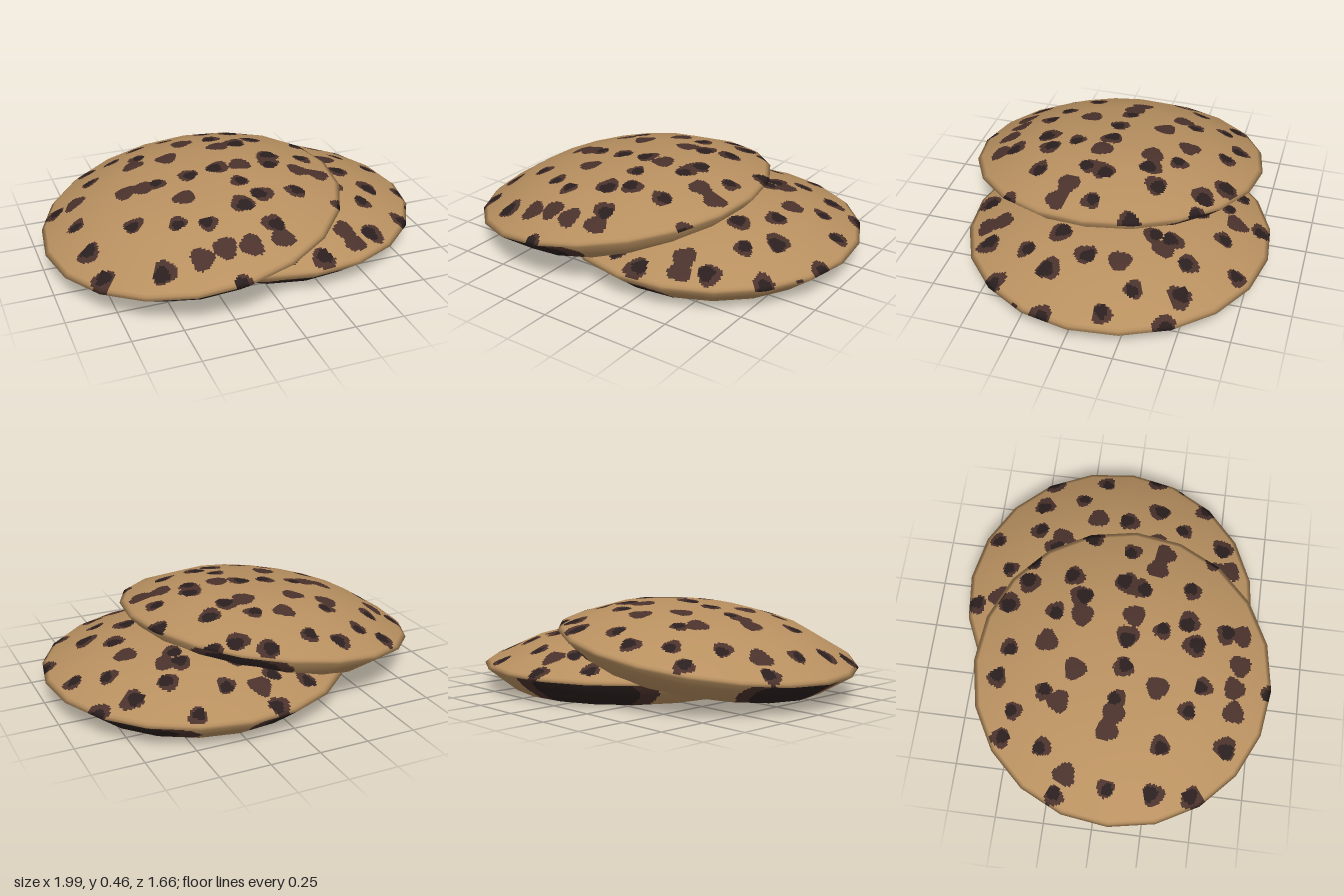
import * as THREE from 'three';

const flat = (name, color) => new THREE.MeshStandardMaterial({ name, color, side: THREE.DoubleSide });
const materials = [flat('biscuit', 0xb89060), flat('softChocolate', 0x4b322c), flat('darkChocolate', 0x2a1f1e)];

// Half section of a cookie: flared skirt, thin rim, shallow dome [radius, height, subdivisions to next]
const profile = [[0.62, 0, 10], [0.77, 0.12, 2], [0.745, 0.14, 24], [0.5, 0.25, 22], [0.27, 0.3, 24], [0, 0.31, 0]];
const RIM = 0.12, SIDES = 20, FINE = 20, AROUND = SIDES * FINE;
const rad = THREE.MathUtils.degToRad;

// Chip and smear centres [x, z] in hundredths
const upperChips = [[-36, -57], [-20, -53], [-52, -46], [-66, -51], [4, -57], [16, -48], [29, -49], [-68, -29],
  [-41, -32], [1, -32], [21, -25], [10, -20], [46, -18], [-91, -20], [-84, 5], [-40, 5], [-24, 6], [-8, 6],
  [20, 2], [18, 10], [39, 3], [-3, 23], [-60, 29], [-84, 29], [-8, 40], [4, 36], [21, 36], [-41, 40],
  [-28, 47], [1, 56], [-56, 62], [-83, 49], [41, 46], [-25, 82]];
const upperSmears = [[-45, -24], [-15, -34], [-28, -18], [0, -18], [-80, -16], [-56, 2], [-48, 4], [3, 8],
  [31, 17], [40, 20], [-32, 24], [2, 64], [-38, 64], [-26, 63], [-14, 65]];
const lowerChips = [[9, -77], [48, -72], [29, -61], [53, -49], [71, -49], [87, -46], [43, -39], [43, -29],
  [75, -28], [90, -17], [63, -1], [73, 14], [52, 15], [95, 11], [95, 27], [63, 29], [80, 39], [58, 51], [25, 63]];
const lowerSmears = [[13, -65], [63, -18], [49, -36], [43, 49], [45, 56]];

// Skirt patches are [angle, half width, height fraction, half height]
const cookies = [
  {
    name: 'lowerCookie', position: [0.225, 0.12, -0.065], rotation: [0, 0, 0], phase: 2.6,
    chips: lowerChips, smears: lowerSmears, spotCentre: [0.225, -0.065], covered: true,
    patches: [[95, 22, -0.1, 0.75], [160, 24, 0.4, 1.2], [325, 35, 0.4, 1], [240, 30, 0.5, 1.2]],
  },
  {
    name: 'upperCookie', position: [-0.235, 0.245, 0.06], rotation: [0.032, 0, 0.15], phase: -1.9,
    chips: upperChips, smears: upperSmears, spotCentre: [-0.255, 0.06], covered: false,
    patches: [[105, 33, 0.4, 1.2], [190, 23, 0.4, 1.2], [305, 22, 0.3, 1]],
  },
];

// Chips are soft blobs with a darker core set off centre; smears have no core
function makeSpots({ chips, smears, spotCentre: [cx, cz], covered }) {
  const spots = [];
  const addChip = (x, z, i) => {
    const r = 0.051 + 0.007 * Math.sin(i * 5.3), shift = r * 0.3;
    spots.push({ x, z, r, colour: 1, twist: i * 2.1 });
    spots.push({ x: x + shift * Math.cos(i * 2.4), z: z + shift * Math.sin(i * 2.4), r: r * 0.68, colour: 2, twist: i });
  };
  chips.forEach(([x, z], i) => addChip(x / 100 - cx, z / 100 - cz, i));
  smears.forEach(([x, z], i) => spots.push({ x: x / 100 - cx, z: z / 100 - cz, r: 0.056, colour: 1, twist: i * 1.7 }));
  // A loose spiral of chips fills the area under the other cookie
  for (let i = 0; covered && i < 52; i++) {
    const d = 0.74 * Math.sqrt((i + 0.5) / 52), x = d * Math.cos(i * 2.4), z = d * Math.sin(i * 2.4);
    if (Math.hypot(x + 0.46, z - 0.125) < 0.7) addChip(x, z, i);
  }
  return spots;
}

// Fine rings along the profile, with smoothed normals at its corners
function makeRings() {
  const segNormal = profile.slice(1).map(([r, y], i) => {
    const n = new THREE.Vector2(y - profile[i][1], profile[i][0] - r);
    return n.setLength(Math.sqrt(n.length()));
  });
  const corner = profile.map((_, i) => {
    if (i === profile.length - 1) return new THREE.Vector2(0, 1);
    return segNormal[i].clone().add(segNormal[Math.max(i - 1, 0)]).normalize();
  });
  const rings = [];
  profile.forEach(([r, y, steps], i) => {
    for (let k = 0; k < steps; k++) {
      const t = k / steps, next = profile[i + 1];
      rings.push({
        r: r + (next[0] - r) * t, y: y + (next[1] - y) * t,
        n: corner[i].clone().lerp(corner[i + 1], t).normalize(),
      });
    }
  });
  rings.push({ r: 0, y: profile.at(-1)[1], n: corner.at(-1) });
  return rings;
}

// Colour index for a point on the dome
function domeColour(spots, x, z) {
  let result = 0;
  for (const { x: sx, z: sz, r, colour, twist } of spots) {
    const dx = x - sx, dz = z - sz;
    const wobble = 1 + 0.1 * Math.sin(3 * Math.atan2(dz, dx) + twist);
    if (Math.hypot(dx, dz) < r * wobble) result = Math.max(result, colour);
  }
  return result;
}

// Colour index for a point on the skirt
function skirtColour(patches, x, y, z) {
  const angle = THREE.MathUtils.radToDeg(Math.atan2(z, x));
  let result = 0;
  for (const [a, width, h, height] of patches) {
    const da = THREE.MathUtils.euclideanModulo(angle - a + 180, 360) - 180;
    const d = Math.hypot(da / width, (y / RIM - h) / height);
    if (d < 1) result = Math.max(result, d < 0.75 ? 2 : 1);
  }
  return result;
}

function makeCookie(spec, rings) {
  const spots = makeSpots(spec);
  const positions = [], normals = [], faces = [[], [], []];
  for (const { r, y, n } of rings) {
    for (let j = 0; j <= AROUND; j++) {
      // Straight sides between the corners of the outline
      const a = rad(spec.phase + j * 360 / AROUND);
      const side = rad(((j % FINE) / FINE - 0.5) * 360 / SIDES);
      const q = r * Math.cos(Math.PI / SIDES) / Math.cos(side);
      positions.push(q * Math.cos(a), y - RIM, q * Math.sin(a));
      normals.push(n.x * Math.cos(a), n.y, n.x * Math.sin(a));
    }
  }
  const row = AROUND + 1;
  for (let i = 0; i < rings.length - 1; i++) {
    for (let j = 0; j < AROUND; j++) {
      const a = i * row + j, b = a + 1, c = a + row, d = c + 1;
      // Each small cell takes the colour found at its middle
      const [x, y, z] = [0, 1, 2].map((k) => (positions[a * 3 + k] + positions[d * 3 + k]) / 2);
      const colour = y < 0 ? skirtColour(spec.patches, x, y + RIM, z) : domeColour(spots, x, z);
      faces[colour].push(a, c, b);
      if (i < rings.length - 2) faces[colour].push(b, c, d);
    }
  }
  const geometry = new THREE.BufferGeometry();
  geometry.setAttribute('position', new THREE.Float32BufferAttribute(positions, 3));
  geometry.setAttribute('normal', new THREE.Float32BufferAttribute(normals, 3));
  geometry.setIndex(faces.flat());
  let start = 0;
  faces.forEach((list, i) => {
    geometry.addGroup(start, list.length, i);
    start += list.length;
  });
  const mesh = new THREE.Mesh(geometry, materials);
  mesh.name = spec.name;
  mesh.position.set(...spec.position);
  mesh.rotation.set(...spec.rotation);
  return mesh;
}

export function createModel() {
  const model = new THREE.Group();
  model.name = 'cookies';
  const rings = makeRings();
  for (const spec of cookies) model.add(makeCookie(spec, rings));
  return model;
}
